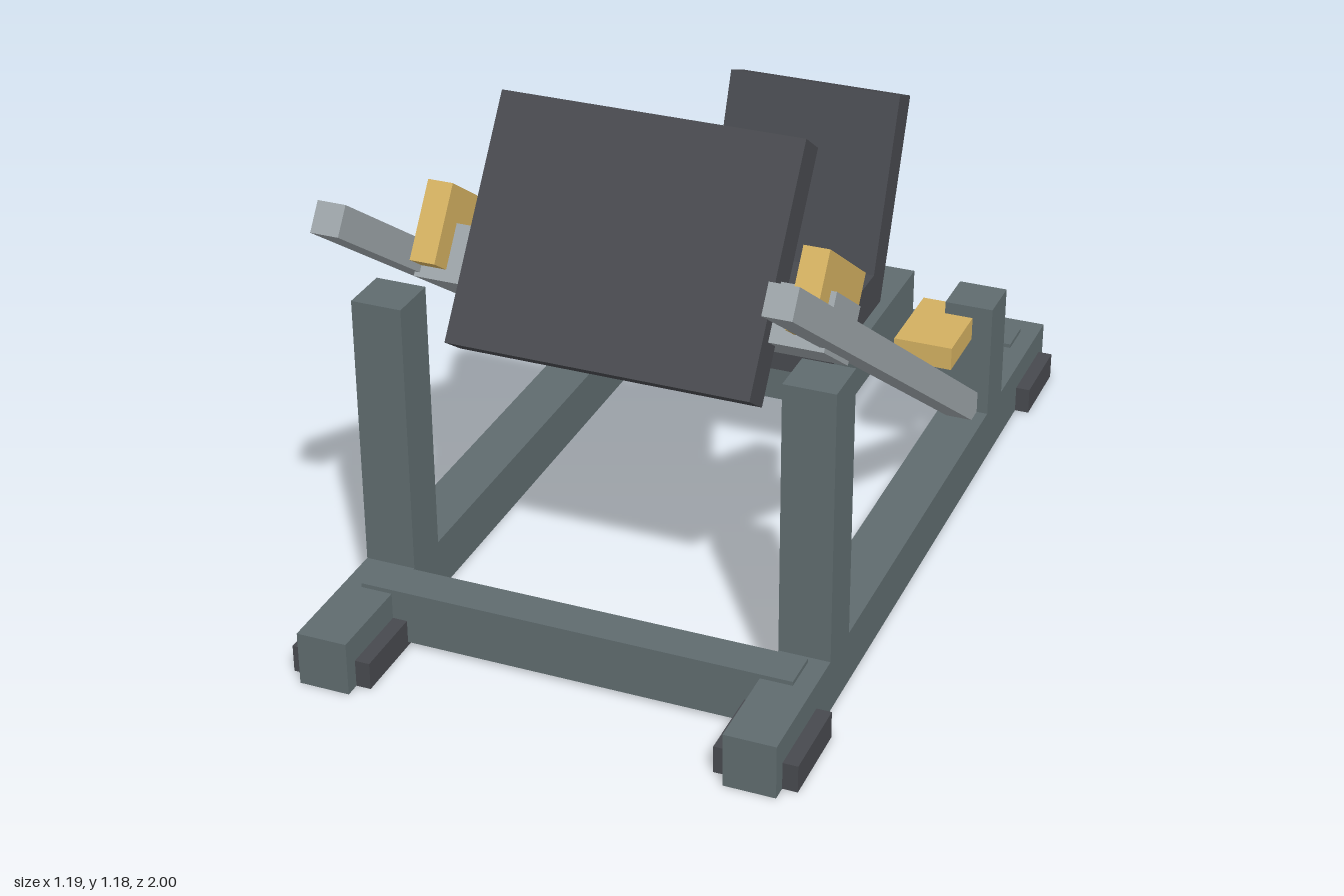
import * as THREE from 'three';

const paint = (name, color) => {
  const m = new THREE.MeshStandardMaterial({ color });
  m.name = name;
  return m;
};

export function createModel() {
  const frame = paint('slate frame', 0x5f6b6e);
  const steel = paint('light steel', 0x9ba3a7);
  const pad = paint('charcoal padding', 0x47494e);
  const gold = paint('gold', 0xd2af60);

  const model = new THREE.Group();
  model.name = 'legPressMachine';

  // Box given by its size and centre
  const box = (parent, name, material, size, centre) => {
    const mesh = new THREE.Mesh(new THREE.BoxGeometry(...size), material);
    mesh.name = name;
    mesh.position.set(...centre);
    parent.add(mesh);
    return mesh;
  };

  const slope = THREE.MathUtils.degToRad(35);

  for (const [side, s] of [['left', 1], ['right', -1]]) {
    // Base rails, posts and feet
    box(model, side + 'BaseRail', frame, [0.12, 0.13, 2], [s * 0.5, 0.065, 0]);
    box(model, side + 'FrontPost', frame, [0.12, 0.68, 0.12], [s * 0.5, 0.45, 0.61]);
    box(model, side + 'RearPost', frame, [0.12, 0.31, 0.12], [s * 0.5, 0.265, -0.55]);
    for (const z of [0.86, -0.86]) {
      box(model, side + 'Foot', pad, [0.19, 0.066, 0.208], [s * 0.5, 0.033, z]);
    }
    // Sloping guide rail, from the rear post up over the front post
    const length = 1.68;
    const guide = box(model, side + 'GuideRail', steel, [0.065, 0.07, length], [
      s * 0.5, 1.08 - Math.sin(slope) * length / 2, 0.85 - Math.cos(slope) * length / 2]);
    guide.rotation.x = -slope;
    // Hand grip beside the seat
    box(model, side + 'HandGrip', gold, [0.145, 0.058, 0.23], [s * 0.438, 0.36, -0.435]);
  }

  // Cross beams
  box(model, 'frontCrossBeam', frame, [1.03, 0.13, 0.095], [0, 0.075, 0.735]);
  box(model, 'rearCrossBeam', frame, [1.03, 0.13, 0.095], [0, 0.075, -0.89]);

  // Sliding carriage: local z runs up along the guide rails
  const carriage = new THREE.Group();
  carriage.name = 'carriage';
  carriage.position.set(0, 0.918, 0.434);
  carriage.rotation.x = -slope;
  model.add(carriage);
  box(carriage, 'footPlate', pad, [0.71, 0.57, 0.092], [0, 0, 0]);
  box(carriage, 'carriageBeam', steel, [0.96, 0.132, 0.195], [0, -0.085, -0.09]);
  for (const s of [1, -1]) {
    box(carriage, 'carriageBlock', gold, [0.06, 0.183, 0.292], [s * 0.437, -0.033, -0.072]);
  }
  for (const y of [-0.18, -0.06, 0.06, 0.18]) {
    box(carriage, 'plateRib', steel, [0.59, 0.025, 0.03], [0, y, -0.055]);
  }

  // Seat and reclined backrest
  box(model, 'seatBase', frame, [0.505, 0.13, 0.545], [0, 0.245, -0.558]);
  box(model, 'seatCushion', pad, [0.45, 0.12, 0.385], [0, 0.35, -0.43]);
  const back = box(model, 'backrest', pad, [0.45, 0.55, 0.09], [0, 0.56, -0.686]);
  back.rotation.x = -0.375;

  return model;
}
